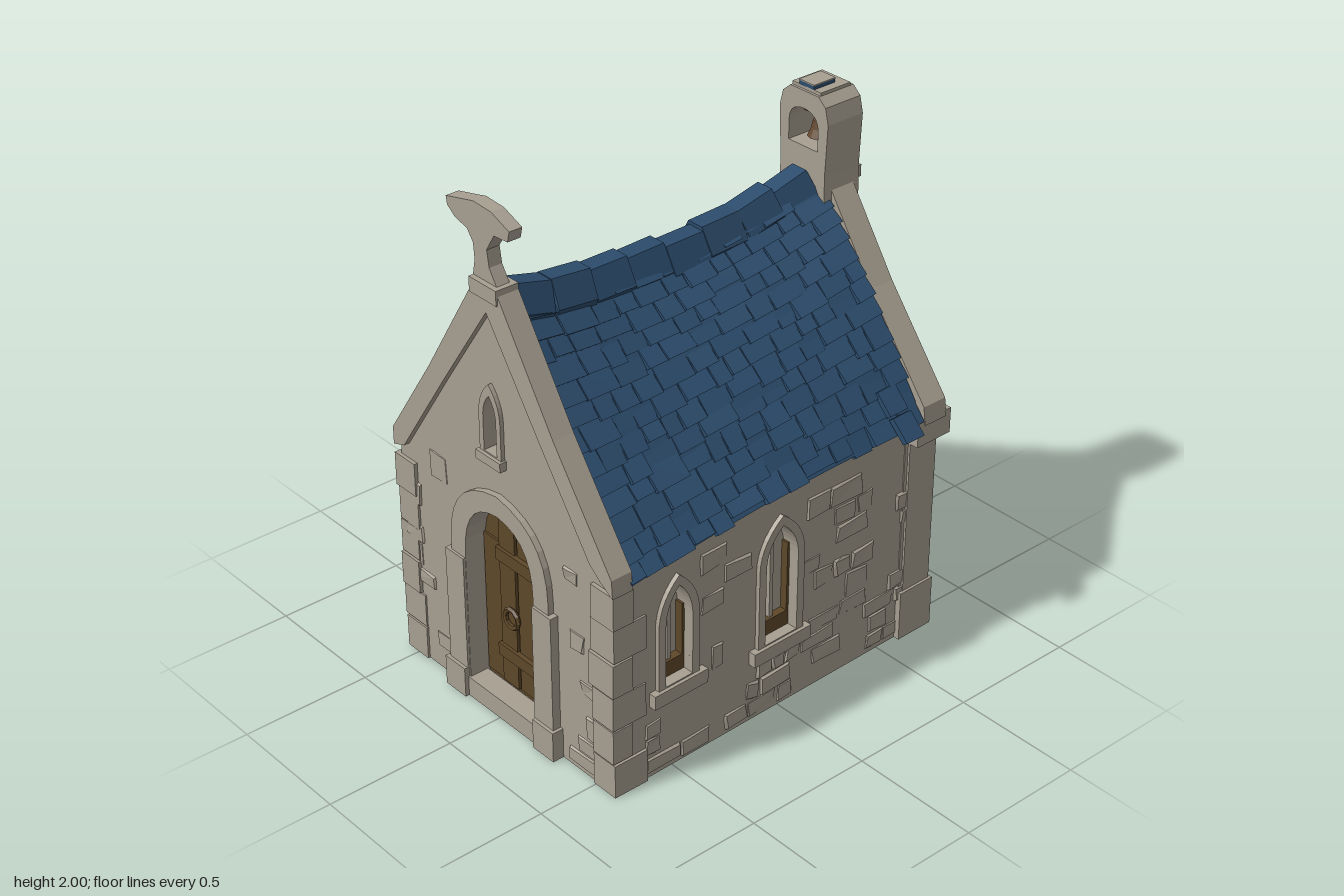
import * as THREE from 'three';
import { mergeGeometries } from 'three/addons/utils/BufferGeometryUtils.js';

const mat = (name, color) => Object.assign(new THREE.MeshStandardMaterial({ color, flatShading: true }), { name });

export function createModel() {
  const stone = mat('stone', 0xa79f91), slate = mat('blue slate', 0x2c4c6c);
  const wood = mat('wood', 0x5e482a), bronze = mat('bronze', 0x644830);
  const model = new THREE.Group();
  model.name = 'chapel';

  let seed = 7919;
  const rand = (a, b) => {
    seed = (seed * 16807) % 2147483647;
    return a + (b - a) * (seed / 2147483647);
  };
  const add = (name, geo, material, parent = model) => {
    const m = new THREE.Mesh(geo, material);
    m.name = name;
    parent.add(m);
    return m;
  };
  // Box given by its extents
  const box = (x0, x1, y0, y1, z0, z1) =>
    new THREE.BoxGeometry(x1 - x0, y1 - y0, z1 - z0).translate((x0 + x1) / 2, (y0 + y1) / 2, (z0 + z1) / 2);
  const poly = pts => new THREE.Shape(pts.map(p => new THREE.Vector2(...p)));
  const extrude = (shape, z0, z1) =>
    new THREE.ExtrudeGeometry(shape, { depth: z1 - z0, bevelEnabled: false, curveSegments: 7 }).translate(0, 0, z0);
  // Arched outline: k = 1 is round, smaller is pointed
  const arch = (cx, hw, y0, spring, top, k) => {
    const s = new THREE.Shape(), c = spring + (top - spring) * k;
    s.moveTo(cx - hw, y0).lineTo(cx + hw, y0).lineTo(cx + hw, spring);
    s.quadraticCurveTo(cx + hw, c, cx, top).quadraticCurveTo(cx - hw, c, cx - hw, spring);
    return s;
  };
  const withHoles = (shape, ...holes) => { shape.holes.push(...holes); return shape; };

  // Rough block with a smaller, uneven outer face (outer = +z)
  const block = (x0, x1, y0, y1, z0, z1) => {
    const g = box(x0, x1, y0, y1, z0, z1), p = g.attributes.position, moved = {};
    for (let i = 0; i < p.count; i++) {
      const key = [p.getX(i), p.getY(i), p.getZ(i)].map(v => v.toFixed(4)).join();
      const j = moved[key] ??= [rand(0.002, 0.016), rand(0.002, 0.016), rand(-0.006, 0.002)];
      if (p.getZ(i) < (z0 + z1) / 2) continue;
      p.setXYZ(i, p.getX(i) + (p.getX(i) > (x0 + x1) / 2 ? -j[0] : j[0]),
        p.getY(i) + (p.getY(i) > (y0 + y1) / 2 ? -j[1] : j[1]), p.getZ(i) + j[2]);
    }
    return g;
  };
  // Scattered raised stones over a wall face lying in local z = depth
  const stones = (name, parent, x0, x1, y0, y1, depth, blocked) => {
    const list = [];
    for (let y = y0; y < y1 - 0.04;) {
      const h = Math.min(rand(0.06, 0.11), y1 - y);
      for (let x = x0; x < x1 - 0.03;) {
        const w = Math.min(rand(0.06, 0.17), x1 - x);
        const free = [x, x + w / 2, x + w].every(a => !blocked(a, y) && !blocked(a, y + h));
        if (free && rand(0, 1) < 0.5) list.push(block(x, x + w, y, y + h, depth - 0.01, depth + rand(0.005, 0.011)));
        x += w;
      }
      y += h;
    }
    add(name, mergeGeometries(list), stone, parent);
  };

  // Inner core that carries walls and roof
  add('core', extrude(poly([[-0.52, 0], [0.52, 0], [0.52, 0.84], [0, 1.5], [-0.52, 0.84]]), -0.66, 0.66), stone);

  // Front gable wall with door and niche openings
  const doorHole = () => arch(0.015, 0.185, 0.07, 0.6, 0.84, 0.95);
  const nicheHole = () => arch(-0.015, 0.034, 1.07, 1.2, 1.29, 0.6);
  add('frontWall', extrude(withHoles(
    poly([[-0.55, 0], [0.59, 0], [0.59, 0.82], [0, 1.61], [-0.55, 0.85]]), doorHole(), nicheHole()), 0.66, 0.752), stone);
  add('frontCoping', extrude(poly([[-0.56, 0.86], [-0.5, 0.88], [-0.25, 1.25], [0, 1.61], [0.25, 1.25],
    [0.5, 0.9], [0.55, 0.86], [0.615, 0.82], [0.61, 0.89], [0.33, 1.28], [0.06, 1.7], [-0.06, 1.7], [-0.33, 1.27],
    [-0.56, 0.93]]), 0.69, 0.775), stone);
  stones('frontStones', model, -0.54, 0.57, 0.02, 1.45, 0.752, (x, y) =>
    (Math.abs(x - 0.015) < 0.28 && y < 0.92) || (Math.abs(x) < 0.08 && y > 0.97 && y < 1.36) ||
    y > 1.55 - 1.35 * Math.abs(x));

  // Door with frame, piers, planks, straps and ring
  add('doorFrame', extrude(withHoles(arch(0.015, 0.265, 0, 0.62, 0.92, 0.9), doorHole()), 0.72, 0.775), stone);
  for (const s of [-1, 1]) {
    add('doorJamb', box(-0.05, 0.05, 0.12, 0.58, 0.72, 0.785).translate(0.015 + s * 0.237, 0, 0), stone);
    add('jambFoot', box(-0.055, 0.055, 0, 0.12, 0.72, 0.798).translate(0.015 + s * 0.245, 0, 0), stone);
  }
  add('doorStep', box(-0.2, 0.23, 0, 0.08, 0.7, 0.782), stone);
  add('door', extrude(arch(0.015, 0.19, 0.07, 0.6, 0.845, 0.95), 0.66, 0.69), wood);
  for (let i = 0; i < 4; i++)
    add('doorPlank', box(-0.165 + i * 0.092, -0.08 + i * 0.092, 0.09, i % 3 ? 0.76 : 0.66, 0.68, 0.698 + (i % 2) * 0.006), wood);
  for (const y of [0.2, 0.6]) add('doorStrap', box(-0.08, 0.19, y, y + 0.05, 0.69, 0.716), wood);
  add('doorRing', new THREE.TorusGeometry(0.036, 0.01, 5, 10).translate(0, 0.39, 0.715), wood);

  // Gable niche
  add('nicheFrame', extrude(withHoles(arch(-0.015, 0.057, 1.04, 1.2, 1.335, 0.6), nicheHole()), 0.73, 0.767), stone);
  add('nicheSill', box(-0.08, 0.05, 1.03, 1.065, 0.73, 0.78), stone);

  // Side walls, slightly skewed, with pointed windows; local x runs along the wall, local z points outwards
  const windows = [{ z: 0.495, hw: 0.06, y0: 0.355, top: 0.74 }, { z: 0.02, hw: 0.075, y0: 0.3, top: 0.76 }];
  for (const s of [-1, 1]) {
    const side = new THREE.Group();
    side.name = s > 0 ? 'leftWall' : 'rightWall';
    side.rotation.y = s * Math.PI / 2 + 0.024;
    model.add(side);
    const X = z => -s * z;
    const hole = w => arch(X(w.z), w.hw, w.y0, w.top - 0.15, w.top, 0.6);
    add('wall', extrude(withHoles(poly([[X(0.7), 0], [X(0.7), 0.82], [X(0), 0.88], [X(-0.7), 0.9], [X(-0.7), 0]]),
      ...windows.map(hole)), 0.5, 0.575), stone, side);
    for (const w of windows) {
      const x = X(w.z), y = w.y0;
      add('windowFrame', extrude(withHoles(arch(x, w.hw + 0.032, y - 0.03, w.top - 0.15, w.top + 0.04, 0.6), hole(w)),
        0.55, 0.592), stone, side);
      add('windowSill', box(x - w.hw - 0.06, x + w.hw + 0.06, y - 0.06, y - 0.005, 0.55, 0.605), stone, side);
      add('windowPane', box(x - w.hw, x + w.hw, y, w.top, 0.48, 0.518), stone, side);
      add('mullion', box(x - 0.008, x + 0.008, y, w.top - 0.03, 0.51, 0.54), stone, side);
      add('windowBoard', box(x - w.hw, x + w.hw, y, y + 0.06, 0.515, 0.55), wood, side);
      for (const e of [-1, 1])
        add('windowPost', box(x + e * w.hw - 0.01, x + e * w.hw + 0.01, y, w.top - 0.12, 0.515, 0.55), wood, side);
    }
    stones('sideStones', side, -0.64, 0.64, 0.01, 0.84, 0.575, (x, y) => windows.some(w =>
      Math.abs(x - X(w.z)) < w.hw + 0.035 && y > w.y0 - 0.06 && y < w.top + 0.04));
    // Back corner pier and its kneeler stone
    const pier = (name, za, zb, y0, y1, out) =>
      add(name, box(Math.min(X(za), X(zb)), Math.max(X(za), X(zb)), y0, y1, 0.5, out), stone, side);
    pier('pierBase', -0.58, -0.745, 0, 0.2, 0.598);
    pier('pier', -0.6, -0.735, 0.2, 0.82, 0.588);
    pier('kneeler', -0.6, -0.765, 0.82, 0.92, 0.622);
    // Front quoins, uneven in length
    for (let i = 0; i < 6; i++) {
      const out = (s > 0 ? 0.595 : 0.56) + rand(0, 0.013), x0 = 0.49 + s * 0.02 - rand(0, 0.04);
      add('quoin', box(s > 0 ? x0 : -out, s > 0 ? out : -x0, i * 0.137, i * 0.137 + 0.132,
        i % 2 ? 0.68 : 0.62, rand(0.757, 0.768)), stone);
    }
  }

  // Back wall, ledge and recessed gable
  const back = new THREE.Group();
  back.name = 'backWall';
  back.rotation.y = Math.PI;
  model.add(back);
  add('lowerWall', box(-0.565, 0.59, 0, 0.88, 0.6, 0.735), stone, back);
  add('ledge', box(-0.59, 0.61, 0.87, 0.915, 0.6, 0.765), stone, back);
  add('backGable', extrude(poly([[-0.56, 0.9], [0.56, 0.9], [0, 1.64]]), 0.6, 0.69), stone, back);
  add('backCoping', extrude(poly([[-0.61, 0.9], [-0.52, 0.9], [0, 1.56], [0.53, 0.9], [0.63, 0.9], [0.61, 0.97],
    [0.32, 1.32], [0.1, 1.64], [-0.1, 1.64], [-0.32, 1.32], [-0.6, 0.97]]), 0.645, 0.75), stone, back);
  stones('backStones', back, -0.55, 0.57, 0.01, 0.86, 0.735, () => false);
  stones('gableStones', back, -0.45, 0.45, 0.93, 1.45, 0.69, (x, y) => y > 1.55 - 1.27 * Math.abs(x));

  // Bell tower
  add('bellTower', extrude(withHoles(poly([[-0.115, 1.5], [0.115, 1.5], [0.11, 1.68], [0.12, 1.88], [0.105, 1.94],
    [0.07, 1.97], [-0.07, 1.97], [-0.105, 1.94], [-0.12, 1.88], [-0.11, 1.68]]),
    arch(0, 0.072, 1.765, 1.84, 1.905, 0.95)), 0.61, 0.775), stone, back);
  add('towerLedge', box(-0.1, 0.1, 1.625, 1.67, 0.73, 0.798), stone, back);
  add('towerCap', box(-0.07, 0.07, 1.96, 1.982, 0.62, 0.76), stone, back);
  add('capTile', box(-0.036, 0.036, 1.98, 1.996, 0.62, 0.72), slate, back);
  add('capTop', box(-0.037, 0.037, 1.996, 2, 0.619, 0.721), stone, back);
  add('bell', new THREE.LatheGeometry([[0, 1.775], [0.045, 1.78], [0.032, 1.81], [0.025, 1.84], [0, 1.855]]
    .map(p => new THREE.Vector2(...p)), 10).translate(0, 0, 0.69), bronze, back);
  add('bellBeam', box(-0.075, 0.075, 1.855, 1.872, 0.68, 0.7), wood, back);

  // Broken stone finial on the front apex
  add('finialBase', box(-0.075, 0.065, 1.66, 1.715, 0.69, 0.782), stone);
  add('finial', extrude(poly([[-0.08, 1.7], [0.055, 1.7], [0.01, 1.77], [0, 1.83], [0.04, 1.895], [0.11, 1.9],
    [0.12, 1.94], [0.03, 1.975], [-0.06, 1.98], [-0.205, 1.945], [-0.2, 1.915], [-0.16, 1.885], [-0.1, 1.87],
    [-0.07, 1.83], [-0.065, 1.77]]), 0.71, 0.762), stone);

  // Sagging roof: u runs from ridge to eave, h is height above the slope
  const ridgeY = z => 1.575 + 0.17 * (z - 0.05) ** 2;
  const eaveY = z => 0.885 - 0.06 * z - 0.045 * z * z;
  const eaveX = (s, z) => (s > 0 ? 0.572 + 0.02 * z * z : 0.55 - 0.045 * z);
  const tile = (s, u0, u1, z0, z1, thick, lift, nz, width) => {
    const g = new THREE.BoxGeometry(1, 1, 1, 1, 1, nz).translate(0.5, 0.5, 0.5), p = g.attributes.position;
    for (let i = 0; i < p.count; i++) {
      const a = p.getX(i), u = u0 + (u1 - u0) * a, t = s > 0 ? p.getZ(i) : 1 - p.getZ(i);
      const z = z0 + (z1 - z0) * t, h = p.getY(i) * thick + lift * a, top = ridgeY(z);
      // slopes run straight at the front and swell towards the back
      const y = top + (eaveY(z) - top) * u + (0.025 - 0.045 * z) * Math.sin(Math.PI * u);
      p.setXYZ(i, s * (width(z) * u + 0.81 * h), y + 0.59 * h, z);
    }
    return g;
  };
  const rows = 13, tiles = [];
  for (const s of [-1, 1]) {
    for (let r = 0; r < rows; r++) {
      const u0 = r / rows, u1 = (r + 1) / rows;
      tiles.push(tile(s, u0, u1 + 0.01, -0.64, 0.7, 0.022, 0.004, 12, z => eaveX(s, z)));
      for (let z = -0.64; z < 0.69;) {
        let w = rand(0.07, 0.15);
        if (z + w > 0.65) w = 0.7 - z;
        const zc = z + w / 2, over = r === rows - 1 ? rand(-0.01, 0.02) : rand(0.005, 0.03);
        tiles.push(tile(s, Math.max(0, u0 - 0.01), u1 + over, z + 0.003, z + w - 0.003, rand(0.016, 0.024),
          rand(0.01, 0.026), 1, () => eaveX(s, zc)));
        z += w;
      }
    }
    // Long slipped tiles at the back eaves
    for (const [u, x] of [[0.84, 0.6], [0.92, 0.635]])
      tiles.push(tile(s, u, u + 0.09, -0.575, -0.49, 0.024, 0.018, 1, () => x));
  }
  add('roofTiles', mergeGeometries(tiles), slate);

  // Ridge caps
  const caps = [], n = 8, len = 1.31 / n;
  for (let i = 0; i < n; i++) {
    const zc = -0.61 + len * (i + 0.5);
    const g = extrude(poly([[-0.085, -0.06], [-0.075, -0.09], [0, 0], [0.075, -0.09], [0.085, -0.06], [0.035, 0.032],
      [-0.035, 0.032]]), -len / 2 + 0.004, len / 2 + 0.004);
    g.rotateX(-0.34 * (zc - 0.05) + rand(-0.08, 0.08)).translate(rand(-0.006, 0.006), ridgeY(zc) + rand(0.006, 0.02), zc);
    caps.push(g);
  }
  add('ridgeCaps', mergeGeometries(caps), slate);

  return model;
}
